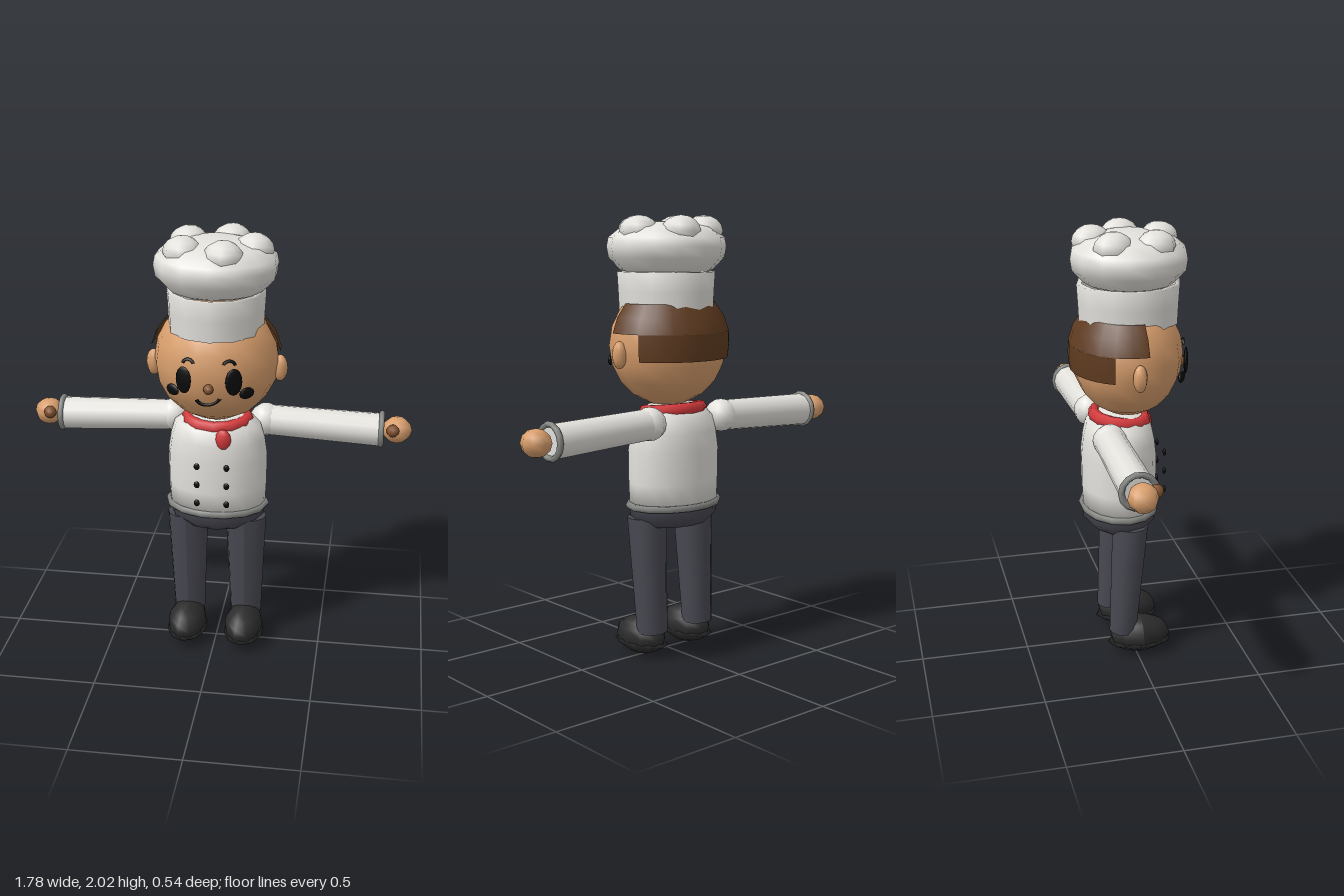
import * as THREE from 'three';

const material = (name, color, side = THREE.FrontSide) => {
  const m = new THREE.MeshStandardMaterial({ color, side });
  m.name = name;
  return m;
};

export function createModel() {
  const model = new THREE.Group();
  model.name = 'cook';

  const white = material('white cloth', 0xe3e1dc, THREE.DoubleSide);
  const skin = material('skin', 0xd89e6c);
  const hairBrown = material('hair brown', 0x5f3b20, THREE.DoubleSide);
  const darkSkin = material('dark skin', 0x84532f);
  const red = material('scarf red', 0xd43a3c);
  const trousers = material('trouser grey', 0x484852);
  const leather = material('shoe black', 0x2b2b2c);
  const ink = material('ink black', 0x0a0a0a);
  const trim = material('trim grey', 0x858783);

  const add = (name, geometry, mat, x = 0, y = 0, z = 0, parent = model) => {
    const mesh = new THREE.Mesh(geometry, mat);
    mesh.name = name;
    mesh.position.set(x, y, z);
    parent.add(mesh);
    return mesh;
  };
  const ball = (rx, ry, rz, w = 10, h = 8) => new THREE.SphereGeometry(1, w, h).scale(rx, ry, rz);
  // Profile of [radius, height] pairs, squashed in depth
  const lathe = (profile, depth = 1, segments = 12, start = 0, arc = Math.PI * 2) =>
    new THREE.LatheGeometry(profile.map(([r, y]) => new THREE.Vector2(r, y)), segments, start, arc).scale(1, 1, depth);
  const ring = (rx, rz, tube, sx = 16) =>
    new THREE.TorusGeometry(1, tube / rx, 6, sx).rotateX(Math.PI / 2).scale(rx, rx, rz);

  // Head and nose
  add('head', ball(0.282, 0.28, 0.253, 14, 10), skin, 0, 1.42, -0.01);
  add('nose', ball(0.023, 0.023, 0.025, 8, 6), darkSkin, 0, 1.365, 0.243);

  // Hair: a band above the ears and a longer panel at the back
  const hairArc = (name, profile, start) =>
    add(name, lathe(profile, 0.91, 12, start, 2 * (Math.PI - start)), hairBrown, 0, 0, -0.005);
  hairArc('upperHair', [[0.292, 1.48], [0.268, 1.55], [0.225, 1.61]], Math.PI / 2 - 0.12);
  hairArc('backHair', [[0.288, 1.36], [0.294, 1.42], [0.292, 1.48]], Math.PI / 2 + 0.45);

  // Smile
  const smile = new THREE.TorusGeometry(0.06, 0.009, 5, 10, 2.2).scale(1, 0.8, 0.5);
  add('mouth', smile.rotateZ(Math.PI + (Math.PI - 2.2) / 2), ink, 0, 1.34, 0.235);

  // Hat
  add('hatBand', lathe([[0.213, 1.57], [0.217, 1.66], [0.222, 1.748], [0.2, 1.75]], 1.06), white);
  add('hatPuff', lathe([[0.18, 1.74], [0.215, 1.755], [0.268, 1.81], [0.276, 1.86], [0.268, 1.9],
    [0.21, 1.945], [0.11, 1.968], [0, 1.972]], 0.95, 14), white);
  for (let i = 0; i < 5; i++) {
    const a = i * Math.PI * 2 / 5;
    add('hatPleat', ball(0.088, 0.07, 0.088, 8, 8), white,
      0.165 * Math.cos(a), 1.928, 0.16 * Math.sin(a) - 0.005);
  }

  // Jacket, hem and scarf
  add('jacket', lathe([[0, 0.68], [0.225, 0.69], [0.23, 0.8], [0.232, 0.95], [0.22, 1.03],
    [0.2, 1.1], [0.13, 1.15], [0, 1.16]], 0.74, 16), white, 0, 0, -0.05);
  add('hem', ring(0.228, 0.17, 0.017, 14), trim, 0, 0.695, -0.05);
  add('scarf', ring(0.135, 0.118, 0.031, 12), red, 0, 1.125, -0.045).rotation.x = 0.12;
  add('scarfKnot', ball(0.037, 0.05, 0.024, 8, 6), red, 0.045, 1.068, 0.097);

  // Trouser seat
  add('trouserSeat', lathe([[0, 0.6], [0.17, 0.6], [0.218, 0.64], [0.222, 0.69]], 0.76, 12),
    trousers, 0, 0, -0.05);

  for (const side of [1, -1]) {
    // Face details
    add('ear', ball(0.034, 0.062, 0.032, 8, 8), skin, side * 0.287, 1.387, -0.016);
    add('eye', ball(0.038, 0.062, 0.01, 14, 8), ink, side * 0.11, 1.402, 0.236).rotation.y = side * 0.36;
    add('cheek', ball(0.037, 0.026, 0.01, 12, 6), ink, side * 0.163, 1.342, 0.203).rotation.y = side * 0.6;
    const brow = new THREE.TorusGeometry(0.027, 0.007, 5, 6, 2.4).rotateZ((Math.PI - 2.4) / 2);
    add('eyebrow', brow, ink, side * 0.09, 1.468, 0.232).rotation.set(-0.2, side * 0.25, 0);

    // Jacket buttons
    for (const y of [0.77, 0.862, 0.953]) {
      add('button', ball(0.014, 0.017, 0.008, 8, 6), ink, side * 0.068, y, 0.153);
    }

    // Arm
    add('shoulder', ball(0.076, 0.076, 0.078), white, side * 0.215, 1.086, -0.135);
    const sleeve = add('sleeve', new THREE.CylinderGeometry(0.077, 0.071, 0.54, 12), white,
      side * 0.48, 1.074, -0.135);
    sleeve.rotation.z = -side * (Math.PI / 2 + 0.04);
    add('cuff', new THREE.TorusGeometry(0.074, 0.014, 6, 14).rotateY(Math.PI / 2), trim,
      side * 0.75, 1.066, -0.135);
    add('hand', ball(0.07, 0.062, 0.066, 8, 6), skin, side * 0.82, 1.068, -0.135);
    add('thumb', ball(0.03, 0.029, 0.03, 8, 6), darkSkin, side * 0.802, 1.085, -0.075);

    // Leg, leaning slightly back toward the ankle
    const leg = new THREE.CylinderGeometry(0.096, 0.074, 0.54, 12, 3).scale(1, 1, 0.87);
    const p = leg.attributes.position;
    for (let i = 0; i < p.count; i++) p.setZ(i, p.getZ(i) - 0.043 + p.getY(i) * 0.065);
    leg.computeVertexNormals();
    add('trouserLeg', leg, trousers, side * 0.138, 0.37, 0);

    // Shoe upper, lower at the toe than at the heel, on a flared sole
    const upper = ball(0.092, 0.09, 0.145, 10, 8);
    const u = upper.attributes.position;
    for (let i = 0; i < u.count; i++) {
      if (u.getY(i) > 0) u.setY(i, u.getY(i) * (1 - 0.8 * u.getZ(i)));
    }
    upper.computeVertexNormals();
    add('shoe', upper, leather, side * 0.138, 0.07, 0.022);
    add('sole', lathe([[0, 0], [0.06, 0.004], [0.097, 0.035], [0.08, 0.05], [0, 0.055]], 1.58, 10),
      leather, side * 0.138, 0, 0.02);
  }
  return model;
}
